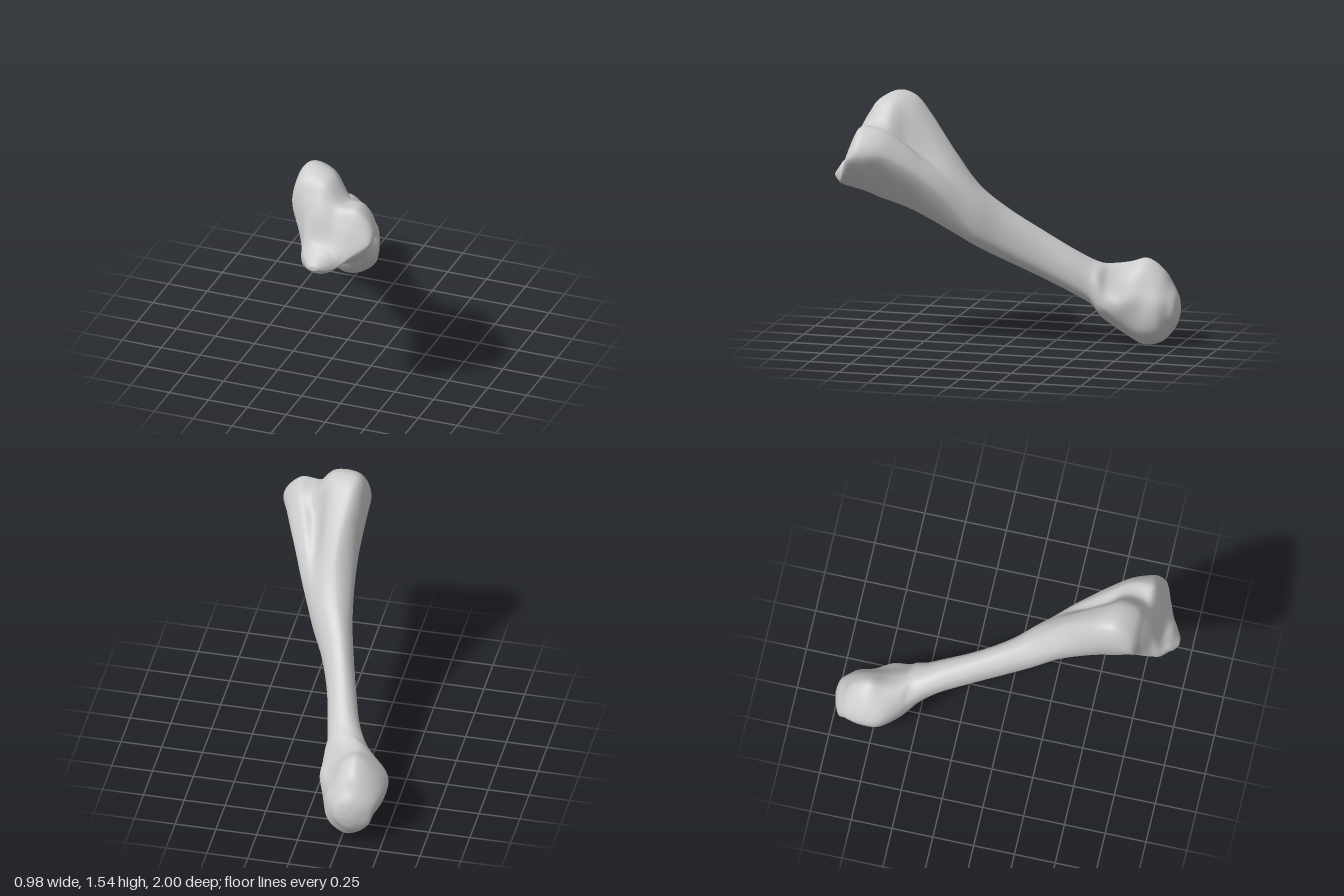
import * as THREE from 'three';

const AROUND = 72, ALONG = 150;
const ANGLES = [105, 70, 40, 10, -30, -90, -150, 155];

// Each section: z, then eight x,y corners clockwise from the upper left
const upperJoint = [
  [0.9, 0.1, 1.155, 0.17, 1.17, 0.24, 1.165, 0.33, 1.15, 0.38, 1.11, 0.15, 0.955, 0.07, 0.99, 0.06, 1.08],
  [0.85, 0.08, 1.29, 0.15, 1.32, 0.25, 1.28, 0.38, 1.27, 0.475, 1.18, 0.13, 0.94, 0.055, 1.0, 0.045, 1.15],
  [0.8, 0.03, 1.38, 0.13, 1.42, 0.25, 1.36, 0.38, 1.36, 0.485, 1.2, 0.12, 0.925, 0.03, 1.05, 0.0, 1.25],
  [0.75, 0.0, 1.47, 0.15, 1.485, 0.27, 1.37, 0.38, 1.365, 0.475, 1.2, 0.12, 0.905, 0.01, 1.1, -0.06, 1.33],
];
const upperNeck = [
  [0.65, -0.01, 1.53, 0.16, 1.51, 0.28, 1.36, 0.37, 1.335, 0.435, 1.2, 0.11, 0.87, -0.01, 1.08, -0.07, 1.37],
  [0.55, 0.0, 1.51, 0.14, 1.47, 0.24, 1.27, 0.32, 1.27, 0.39, 1.15, 0.11, 0.835, -0.02, 1.05, -0.065, 1.33],
  [0.45, 0.02, 1.405, 0.13, 1.365, 0.215, 1.185, 0.285, 1.175, 0.34, 1.08, 0.1, 0.785, -0.03, 1.0, -0.05, 1.22],
  [0.3, 0.05, 1.2, 0.12, 1.17, 0.19, 1.07, 0.235, 1.03, 0.26, 0.93, 0.08, 0.7, -0.04, 0.87, -0.05, 1.05],
];
const lowerJoint = [
  [-0.6, -0.3, 0.485, -0.2, 0.475, -0.12, 0.4, -0.065, 0.31, -0.07, 0.24, -0.25, 0.12, -0.37, 0.2, -0.4, 0.36],
  [-0.7, -0.32, 0.5, -0.22, 0.46, -0.13, 0.36, -0.07, 0.28, -0.11, 0.15, -0.28, 0.05, -0.43, 0.17, -0.485, 0.35],
  [-0.8, -0.32, 0.525, -0.24, 0.48, -0.17, 0.37, -0.125, 0.27, -0.13, 0.1, -0.28, 0.005, -0.42, 0.13, -0.495, 0.33],
  [-0.9, -0.33, 0.455, -0.25, 0.42, -0.19, 0.34, -0.15, 0.25, -0.17, 0.1, -0.28, 0.03, -0.4, 0.13, -0.47, 0.3],
];

// Oval sections: z, centre x, centre y, half width, half height
const frontTip = [
  [1, 0.17, 1.035, 0.025, 0.015],
  [0.975, 0.175, 1.04, 0.065, 0.045],
  [0.95, 0.185, 1.05, 0.095, 0.07],
];
const shaft = [
  [0.15, 0.045, 0.8, 0.125, 0.19],
  [0, -0.02, 0.688, 0.1, 0.163],
  [-0.2, -0.09, 0.565, 0.09, 0.145],
  [-0.4, -0.15, 0.445, 0.1, 0.135],
  [-0.5, -0.19, 0.38, 0.12, 0.14],
  [-0.55, -0.21, 0.335, 0.145, 0.165],
];
const rearTip = [
  [-0.95, -0.315, 0.225, 0.125, 0.145],
  [-0.985, -0.3, 0.225, 0.08, 0.09],
  [-1, -0.295, 0.225, 0.03, 0.03],
];

function corners([z, ...xy]) {
  return ANGLES.map((_, k) => new THREE.Vector3(xy[2 * k], xy[2 * k + 1], z));
}

function oval([z, cx, cy, rx, ry]) {
  return ANGLES.map((deg) => {
    const a = THREE.MathUtils.degToRad(deg);
    return new THREE.Vector3(cx + rx * Math.cos(a), cy + ry * Math.sin(a), z);
  });
}

// Smooth skin through all sections, closed at both ends
function loft(sections) {
  const rings = sections.map((pts) => new THREE.CatmullRomCurve3(pts, true));
  const positions = [], index = [];
  const id = (j, i) => (i % AROUND) * (ALONG + 1) + j;
  for (let i = 0; i < AROUND; i++) {
    const rail = new THREE.CatmullRomCurve3(rings.map((r) => r.getPoint(i / AROUND)));
    for (let j = 0; j <= ALONG; j++) positions.push(...rail.getPoint(j / ALONG).toArray());
  }
  const frontCentre = positions.length / 3, rearCentre = frontCentre + 1;
  for (const pts of [sections[0], sections[sections.length - 1]]) {
    const c = new THREE.Vector3();
    pts.forEach((p) => c.addScaledVector(p, 1 / pts.length));
    positions.push(c.x, c.y, c.z);
  }
  for (let i = 0; i < AROUND; i++) {
    for (let j = 0; j < ALONG; j++) {
      const a = id(j, i), b = id(j, i + 1), c = id(j + 1, i), d = id(j + 1, i + 1);
      index.push(a, b, c, b, d, c);
    }
    index.push(frontCentre, id(0, i + 1), id(0, i));
    index.push(rearCentre, id(ALONG, i), id(ALONG, i + 1));
  }
  const geometry = new THREE.BufferGeometry();
  geometry.setAttribute('position', new THREE.Float32BufferAttribute(positions, 3));
  geometry.setIndex(index);
  geometry.computeVertexNormals();
  return geometry;
}

export function createModel() {
  const group = new THREE.Group();
  group.name = 'longBone';
  const boneGrey = new THREE.MeshStandardMaterial({ color: 0xcccccc });
  boneGrey.name = 'bone grey';

  // One continuous bone: three-lobed upper joint, slim shaft, rounded lower joint
  const bone = new THREE.Mesh(loft([
    ...frontTip.map(oval),
    ...upperJoint.map(corners),
    ...upperNeck.map(corners),
    ...shaft.map(oval),
    ...lowerJoint.map(corners),
    ...rearTip.map(oval),
  ]), boneGrey);
  bone.name = 'bone';
  group.add(bone);
  return group;
}
